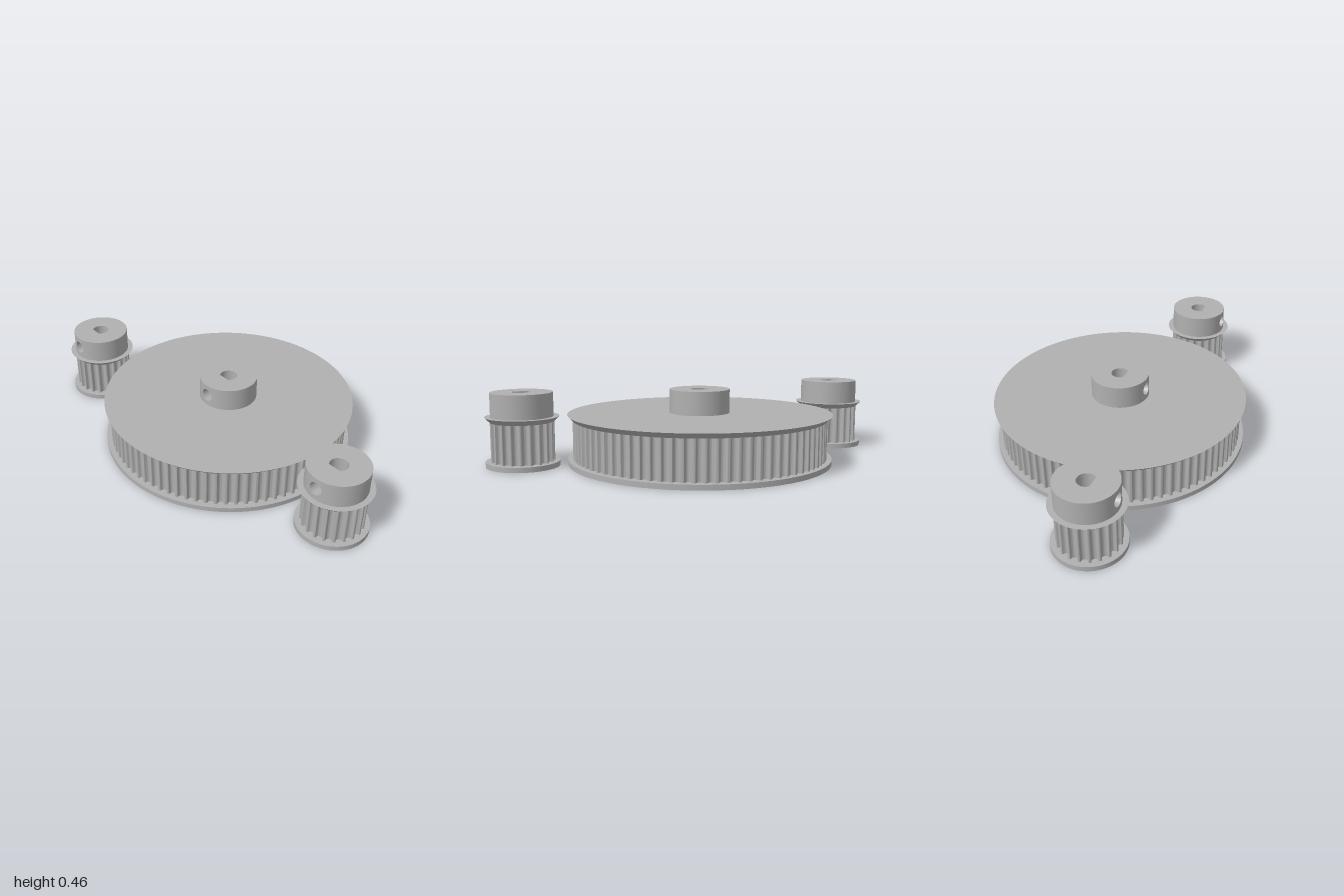
import * as THREE from 'three';
import { toCreasedNormals } from 'three/addons/utils/BufferGeometryUtils.js';

const MM = 1 / 46.8;                     // one millimetre in model units
const BASE_TOP = 0.032, TEETH_TOP = 0.278, FLANGE_TOP = 0.31, HUB_TOP = 0.46;
const HUB_R = 0.192, BORE_R = 0.057, FLAT = 0.04, SCREW_R = 0.043;

// Half of one belt-tooth groove in millimetres: [half width, depth]
const GROOVE = [
  [1.155, 0], [1.065, 0.016], [0.989, 0.062], [0.933, 0.131], [0.904, 0.218], [0.864, 0.408],
  [0.8, 0.591], [0.714, 0.765], [0.605, 0.927], [0.47, 1.033], [0.321, 1.108], [0.163, 1.153],
];
const GROOVE_DEPTH = 1.169;

function geometryFrom(positions) {
  const g = new THREE.BufferGeometry();
  g.setAttribute('position', new THREE.Float32BufferAttribute(positions, 3));
  return toCreasedNormals(g, 0.5);
}

// Upright wall along a closed plan of (x, z) points
function wall(points, y0, y1) {
  const pos = [];
  points.forEach((p, i) => {
    const q = points[(i + 1) % points.length];
    pos.push(p.x, y0, p.y, q.x, y0, q.y, q.x, y1, q.y);
    pos.push(p.x, y0, p.y, q.x, y1, q.y, p.x, y1, p.y);
  });
  return geometryFrom(pos);
}

// Plan of the toothed ring
function toothPlan(teeth, radius) {
  const scale = 1.087 * MM;
  const edge = Math.sqrt(radius ** 2 - (GROOVE[0][0] * scale) ** 2);
  const profile = [
    ...GROOVE.map(([w, d]) => [-w, d]), [0, GROOVE_DEPTH], ...GROOVE.slice().reverse(),
  ];
  const points = [];
  for (let i = 0; i < teeth; i++) {
    const a = (i / teeth) * Math.PI * 2, s = Math.sin(a), c = Math.cos(a);
    for (const [w, d] of profile) {
      const r = edge - d * MM, t = w * scale;
      points.push(new THREE.Vector2(s * r + c * t, c * r - s * t));
    }
  }
  return points;
}

// Plan of the D-shaped bore, flat towards +z
function borePlan() {
  const half = Math.acos(FLAT / BORE_R), points = [];
  for (let i = 0; i <= 36; i++) {
    const a = half + (i / 36) * (Math.PI * 2 - 2 * half);
    points.push(new THREE.Vector2(Math.sin(a) * BORE_R, Math.cos(a) * BORE_R));
  }
  return points;
}

// Flat disc pierced by the bore, facing up or down
function cap(radius, y, up) {
  const sign = up ? -1 : 1;
  const shape = new THREE.Shape().absarc(0, 0, radius, 0, Math.PI * 2);
  shape.holes.push(new THREE.Path(borePlan().map((p) => new THREE.Vector2(p.x, sign * p.y))));
  return new THREE.ShapeGeometry(shape, 96).rotateX((sign * Math.PI) / 2).translate(0, y, 0);
}

function lathe(points, segments) {
  const g = new THREE.LatheGeometry(points.map(([x, y]) => new THREE.Vector2(x, y)), segments);
  return toCreasedNormals(g, 0.5);
}

// Curved piece of hub wall around the set-screw hole, with the hole's tunnel
function screwPatch() {
  const N = 48, RINGS = 6, H = (HUB_TOP - FLANGE_TOP) / 2, midY = FLANGE_TOP + H;
  const point = (i, j) => {
    const a = (i / N) * Math.PI * 2, c = Math.cos(a), s = Math.sin(a);
    const k = Math.max(Math.abs(c), Math.abs(s));
    const r = THREE.MathUtils.lerp(SCREW_R, H / k, Math.max(j, 0) / RINGS);
    const u = r * c;
    const z = j < 0
      ? Math.min(FLAT, Math.sqrt(BORE_R ** 2 - u * u))
      : Math.sqrt(HUB_R ** 2 - u * u);
    return [u, midY + r * s, z];
  };
  const pos = [];
  for (let i = 0; i < N; i++) {
    for (let j = -1; j < RINGS; j++) {
      const a = point(i, j), b = point(i, j + 1), c = point(i + 1, j + 1), d = point(i + 1, j);
      pos.push(...a, ...b, ...c, ...a, ...c, ...d);
    }
  }
  return geometryFrom(pos);
}

function hubWall() {
  const h = HUB_TOP - FLANGE_TOP, a = Math.asin(h / 2 / HUB_R);
  return new THREE.CylinderGeometry(HUB_R, HUB_R, h, 64, 1, true, a, Math.PI * 2 - 2 * a)
    .translate(0, FLANGE_TOP + h / 2, 0);
}

function pulley(name, teeth, flangeR, material) {
  const group = new THREE.Group();
  group.name = name;
  const add = (part, geometry) => {
    const mesh = new THREE.Mesh(geometry, material);
    mesh.name = part;
    group.add(mesh);
  };
  const toothR = flangeR - 1.5 * MM;
  const rootR = toothR - 1.4 * MM;
  const segments = teeth > 40 ? 144 : 72;

  add('bottomFlange', lathe([[flangeR, 0], [flangeR, BASE_TOP], [rootR, BASE_TOP]], segments));
  add('bottomFace', cap(flangeR, 0, false));
  add('beltTeeth', wall(toothPlan(teeth, toothR), BASE_TOP, TEETH_TOP));
  add('topFlange', lathe([
    [rootR, TEETH_TOP], [toothR, TEETH_TOP], [flangeR, FLANGE_TOP], [HUB_R, FLANGE_TOP],
  ], segments));
  add('hubWall', hubWall());
  add('setScrewHole', screwPatch());
  add('hubTop', cap(HUB_R, HUB_TOP, true));
  add('shaftBore', wall(borePlan().reverse(), 0, HUB_TOP));

  group.rotation.y = THREE.MathUtils.degToRad(-49);
  return group;
}

export function createModel() {
  const model = new THREE.Group();
  model.name = 'beltPulleySet';
  const grey = new THREE.MeshStandardMaterial({ color: 0xb0b0b0 });
  grey.name = 'plain grey';

  const large = pulley('largePulley', 80, 0.84, grey);
  large.position.set(0.16, 0, -0.16);
  model.add(large);

  // Two matching small pulleys at opposite corners
  for (const [name, side] of [['frontSmallPulley', 1], ['backSmallPulley', -1]]) {
    const small = pulley(name, 20, 0.228, grey);
    small.position.set(side * 0.772, 0, side * 0.772);
    model.add(small);
  }
  return model;
}
